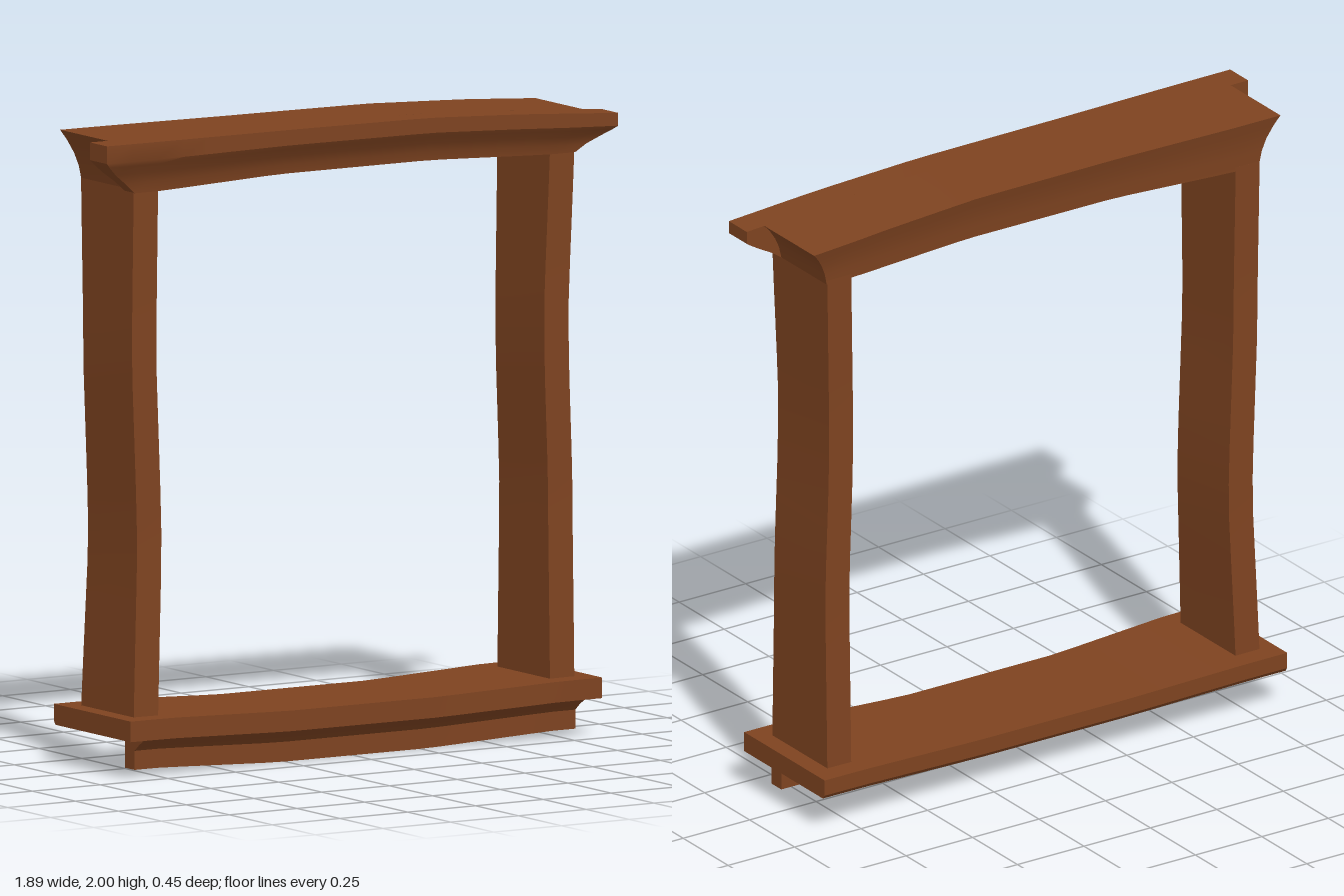
import * as THREE from 'three';
import { toCreasedNormals } from 'three/addons/utils/BufferGeometryUtils.js';

const wood = new THREE.MeshStandardMaterial({ color: 0x7e4320 });
wood.name = 'brown wood';

const { clamp, lerp } = THREE.MathUtils;
// 0 over the middle of the span, 1 near its ends
const toEnd = (x) => clamp((Math.abs(x) - 0.28) / 0.44, 0, 1);

// Piecewise linear lookup in [key, value] pairs
function sample(points, k) {
  for (let i = 1; i < points.length; i++) {
    const [k0, v0] = points[i - 1], [k1, v1] = points[i];
    if (k <= k1) return lerp(v0, v1, clamp((k - k0) / (k1 - k0), 0, 1));
  }
  return points[points.length - 1][1];
}

function finish(name, geometry) {
  const mesh = new THREE.Mesh(toCreasedNormals(geometry, 0.5), wood);
  mesh.name = name;
  return mesh;
}

// Horizontal moulding: levels are [height fraction, half length, front z, back z];
// bottom(x) and top(x) bend it, pinch narrows the middle of the chosen sides.
function moulding(name, levels, bottom, top, pinchFront, pinchBack) {
  const n = levels.length - 1;
  const geometry = new THREE.BoxGeometry(2, n, 2, 20, n, 1);
  const p = geometry.attributes.position;
  for (let i = 0; i < p.count; i++) {
    const [t, half, front, back] = levels[Math.round(p.getY(i) + n / 2)];
    const x = p.getX(i) * half;
    const middle = 1 - toEnd(x);
    const z = p.getZ(i) > 0 ? front - pinchFront * middle : back + pinchBack * middle;
    p.setXYZ(i, x, lerp(bottom(x), top(x), t), z);
  }
  return finish(name, geometry);
}

// Upright post whose centre line follows a bent path
function post(name, path) {
  const y0 = 0.17, y1 = 1.85;
  const geometry = new THREE.BoxGeometry(0.09, y1 - y0, 2, 1, 14, 1);
  const p = geometry.attributes.position;
  for (let i = 0; i < p.count; i++) {
    const y = p.getY(i) + (y0 + y1) / 2;
    const depth = sample([[0.18, 0.153], [0.7, 0.142], [1.4, 0.142], [1.84, 0.153]], y);
    p.setXYZ(i, p.getX(i) + sample(path, y), y, p.getZ(i) * depth);
  }
  return finish(name, geometry);
}

export function createModel() {
  const group = new THREE.Group();
  group.name = 'windowFrame';

  // Posts
  group.add(
    post('rightPost', [[0.18, -0.77], [0.65, -0.752], [0.8, -0.751], [1.28, -0.769], [1.84, -0.77]]),
    post('leftPost', [[0.18, 0.766], [0.8, 0.766], [1.2, 0.752], [1.38, 0.752], [1.84, 0.766]]),
  );

  // Sagging sill with a softened lower edge at the back
  const sag = (y, depth) => (x) => y - depth * (1 - toEnd(x));
  group.add(moulding('sill', [
    [0, 0.87, 0.222, -0.215], [0.2, 0.87, 0.222, -0.225], [1, 0.87, 0.222, -0.225],
  ], sag(0.12, 0.016), sag(0.185, 0.016), 0.02, 0.015));

  // Apron under the front of the sill, flaring forward at its top
  group.add(moulding('apron', [
    [0, 0.813, 0.155, 0.1], [0.6, 0.813, 0.155, 0.1], [0.8, 0.813, 0.18, 0.1], [1, 0.813, 0.212, 0.1],
  ], sag(0.02, 0.02), sag(0.12, 0.016), 0.012, 0));

  // Lintel: top drops towards the left, underside arches slightly
  const lintelBottom = (x) => 1.853 - 0.017 * toEnd(x);
  const lintelTop = (x) => sample([[-0.95, 2], [-0.2, 1.997], [0.25, 1.994], [0.6, 1.978], [0.94, 1.955]], x);
  group.add(moulding('lintel', [
    [0, 0.813, 0.1, -0.152], [0.3, 0.822, 0.1, -0.155], [0.55, 0.836, 0.1, -0.16],
    [0.8, 0.856, 0.1, -0.169], [1, 0.877, 0.1, -0.177],
  ], lintelBottom, lintelTop, 0, 0.013));

  // Crown moulding along the front of the lintel
  group.add(moulding('crownMoulding', [
    [0, 0.813, 0.155, 0.1], [0.2, 0.85, 0.16, 0.1], [0.4, 0.895, 0.174, 0.1],
    [0.57, 0.928, 0.192, 0.1], [0.66, 0.943, 0.2, 0.1], [1, 0.943, 0.2, 0.1],
  ], lintelBottom, lintelTop, 0.005, 0));

  return group;
}
